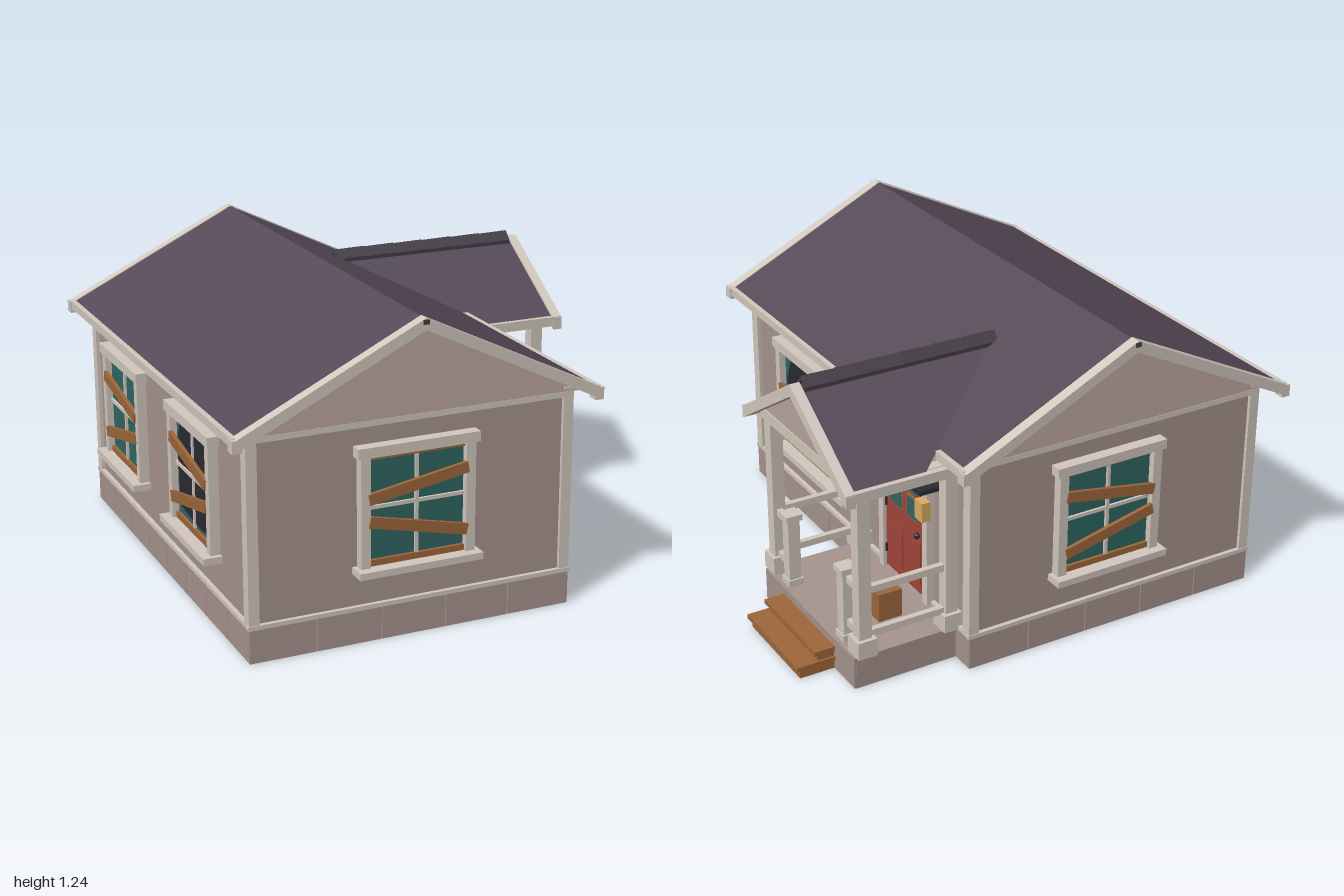
import * as THREE from 'three';

const mat = (color) => new THREE.MeshStandardMaterial({ color, flatShading: true, side: THREE.DoubleSide });
const M = {
  wall: mat(0xa8948f), trim: mat(0xd3c9bf), roof: mat(0x564a58), ridge: mat(0x453e47), wood: mat(0x9e673b),
  glass: mat(0x2f6763), dark: mat(0x2a2a33), door: mat(0xa2453a), lamp: mat(0xdcae60), floor: mat(0x4a2f1c), slab: mat(0x55504f),
};

function add(parent, name, geo, material) {
  const m = new THREE.Mesh(geo, material);
  m.name = name;
  parent.add(m);
  return m;
}

// Box given by its limits on each axis
function box(parent, name, material, x0, x1, y0, y1, z0, z1) {
  const m = add(parent, name, new THREE.BoxGeometry(x1 - x0, y1 - y0, z1 - z0), material);
  m.position.set((x0 + x1) / 2, (y0 + y1) / 2, (z0 + z1) / 2);
  return m;
}

function prism(points, z0, z1) {
  const shape = new THREE.Shape(points.map(([x, y]) => new THREE.Vector2(x, y)));
  return new THREE.ExtrudeGeometry(shape, { depth: z1 - z0, bevelEnabled: false }).translate(0, 0, z0);
}

// Inverted V section run along z, for roofs and barge boards
const chevron = (half, eave, ridge, t, z0, z1) =>
  prism([[-half, eave - t], [0, ridge - t], [half, eave - t], [half, eave], [0, ridge], [-half, eave]], z0, z1);

function placed(parent, name, x, z, turn) {
  const g = new THREE.Group();
  g.name = name;
  g.position.set(x, 0, z);
  g.rotation.y = turn;
  parent.add(g);
  return g;
}

// Lapped siding filling a triangle, facing local +z
function gable(g, y0, peak, slope, rows) {
  const h = (peak - y0) / rows;
  for (let i = 0; i < rows; i++) {
    const y = y0 + i * h, a = (peak - y) / slope, b = Math.max((peak - y - h) / slope, 0.002);
    const geo = prism([[-a, y], [a, y], [b, y + h], [-b, y + h]], 0, 0.004);
    const p = geo.attributes.position;
    for (let k = 0; k < p.count; k++) p.setZ(k, p.getZ(k) + (y + h - p.getY(k)) / h * 0.012);
    geo.computeVertexNormals();
    add(g, 'gableSiding', geo, M.wall);
  }
}

// Boarded window facing local +z
function boardedWindow(g, w, flip, broken) {
  const h = w / 2;
  box(g, 'glass', M.glass, -h, h, 0.31, 0.73, 0, 0.012);
  if (broken) {
    const hole = [[-0.9, 0.45], [-0.93, 0.6], [-0.8, 0.69], [-0.3, 0.7], [0.2, 0.71], [0.82, 0.69], [0.9, 0.55], [0.84, 0.35], [0.3, 0.34], [-0.4, 0.35], [-0.84, 0.36]];
    add(g, 'brokenPane', prism(hole.map(([x, y]) => [x * h, y]), 0.012, 0.015), M.dark);
  }
  for (const s of [-1, 1]) box(g, 'windowJamb', M.trim, s * (h + 0.017) - 0.019, s * (h + 0.017) + 0.019, 0.3, 0.73, 0, 0.04);
  box(g, 'windowHead', M.trim, -h - 0.05, h + 0.05, 0.73, 0.77, 0, 0.047);
  box(g, 'windowSill', M.trim, -h - 0.055, h + 0.055, 0.275, 0.302, 0, 0.075);
  box(g, 'sashBottom', M.wood, -h, h, 0.302, 0.326, 0, 0.025);
  box(g, 'sashTop', M.wood, -h, h, 0.714, 0.732, 0, 0.025);
  box(g, 'mullion', M.trim, -0.007, 0.007, 0.32, 0.72, 0, 0.022);
  box(g, 'muntin', M.trim, -h, h, 0.523, 0.537, 0, 0.022);
  for (const [y, tilt] of [[0.603, 0.172], [0.437, -0.225]]) {
    const b = add(g, 'board', new THREE.BoxGeometry(w + 0.015, 0.043, 0.016), M.wood);
    b.position.set(0, y, 0.037);
    b.rotation.z = flip ? -tilt : tilt;
  }
}

// Row of foundation panels with narrow gaps, along local x, outer face at z = 0
function panels(parent, x, z, turn, length, count) {
  const g = placed(parent, 'foundation', x, z, turn), step = length / count;
  for (let i = 0; i < count; i++) {
    const a = -length / 2 + i * step;
    box(g, 'foundationPanel', M.wall, a + 0.002, a + step - 0.002, 0, 0.13, -0.02, 0);
  }
}

export function createModel() {
  const root = new THREE.Group();
  root.name = 'cottage';
  const CX = -0.26, Q = Math.PI / 2, PZ = -0.44;

  // Foundation and floor
  panels(root, CX, 0.915, 0, 1.31, 5);
  panels(root, CX, -0.915, Math.PI, 1.31, 5);
  panels(root, 0.395, 0, Q, 1.83, 8);
  panels(root, -0.915, 0, -Q, 1.83, 8);
  box(root, 'floor', M.floor, -0.9, 0.38, 0.11, 0.13, -0.9, 0.9);

  // Walls with gable ends
  const walls = prism([[-0.64, 0.13], [0.64, 0.13], [0.64, 0.885], [0, 1.2], [-0.64, 0.885]], -0.9, 0.9);
  add(root, 'walls', walls, M.wall).position.x = CX;
  for (const s of [-1, 1]) {
    const g = placed(root, 'gableEnd', CX, s * 0.9, s > 0 ? 0 : Math.PI);
    gable(g, 0.86, 1.195, 0.49, 7);
    box(g, 'gableTrim', M.trim, -0.65, 0.65, 0.84, 0.862, 0, 0.017);
    box(g, 'baseTrim', M.trim, -0.66, 0.66, 0.13, 0.147, 0, 0.017);
    for (const t of [-1, 1]) box(g, 'cornerBoard', M.trim, t * 0.635 - 0.021, t * 0.635 + 0.021, 0.13, 0.88, -0.035, 0.014);
    const side = placed(root, 'sideTrim', CX + s * 0.64, 0, s * Q);
    box(side, 'baseTrim', M.trim, -0.9, 0.9, 0.13, 0.147, 0, 0.017);
    box(side, 'eaveTrim', M.trim, -0.9, 0.9, 0.84, 0.87, 0, 0.014);
  }

  // Main roof
  add(root, 'mainRoof', chevron(0.715, 0.89, 1.238, 0.03, -0.97, 0.97), M.roof).position.x = CX;
  for (const s of [-1, 1]) {
    const z = s * 0.977;
    add(root, 'bargeBoard', chevron(0.73, 0.886, 1.242, 0.045, z - 0.022, z + 0.022), M.trim).position.x = CX;
    box(root, 'ridgeFinish', M.ridge, CX - 0.012, CX + 0.012, 1.218, 1.236, z - 0.024, z + 0.024);
    for (const t of [-1, 1]) box(root, 'eaveReturn', M.trim, CX + t * 0.717 - 0.018, CX + t * 0.717 + 0.018, 0.842, 0.89, z - 0.022, z + 0.022);
  }
  box(root, 'eaveFascia', M.trim, -0.99, -0.965, 0.86, 0.893, -0.98, 0.98);
  box(root, 'eaveFascia', M.trim, 0.447, 0.47, 0.86, 0.893, -0.98, -0.79);
  box(root, 'eaveFascia', M.trim, 0.447, 0.47, 0.86, 0.893, -0.1, 0.98);

  // Windows
  boardedWindow(placed(root, 'frontWindow', -0.255, 0.9, 0), 0.39, false, false);
  boardedWindow(placed(root, 'backWindow', -0.21, -0.9, Math.PI), 0.39, true, false);
  boardedWindow(placed(root, 'rightWindow', 0.38, 0.3225, Q), 0.565, false, true);
  boardedWindow(placed(root, 'leftRearWindow', -0.9, -0.47, -Q), 0.39, true, false);
  boardedWindow(placed(root, 'leftFrontWindow', -0.9, 0.36, -Q), 0.39, true, true);

  // Door, in a frame facing +x with local x running towards -z
  const d = placed(root, 'door', 0.38, PZ, Q);
  box(d, 'doorLeaf', M.door, -0.155, 0.155, 0.14, 0.72, 0, 0.02);
  for (const s of [-1, 1]) {
    box(d, 'doorJamb', M.trim, s * 0.172 - 0.018, s * 0.172 + 0.018, 0.13, 0.725, 0, 0.035);
    for (const y of [0.497, 0.607]) {
      box(d, 'paneFrame', M.wood, s * 0.063 - 0.046, s * 0.063 + 0.046, y - 0.05, y + 0.05, 0, 0.024);
      box(d, 'pane', M.glass, s * 0.063 - 0.038, s * 0.063 + 0.038, y - 0.042, y + 0.042, 0, 0.027);
    }
    box(d, 'doorPanel', M.door, s * 0.07 - 0.05, s * 0.07 + 0.05, 0.18, 0.365, 0, 0.025);
  }
  box(d, 'doorHead', M.trim, -0.192, 0.192, 0.72, 0.767, 0, 0.042);
  for (const y of [0.22, 0.43, 0.66]) box(d, 'hinge', M.dark, -0.158, -0.145, y - 0.018, y + 0.018, 0, 0.026);
  add(d, 'doorKnob', new THREE.SphereGeometry(0.013, 8, 6), M.dark).position.set(0.107, 0.4, 0.032);

  // Wall lamp
  box(d, 'lampGlass', M.lamp, 0.2, 0.253, 0.545, 0.625, 0.055, 0.092);
  box(d, 'lampCap', M.dark, 0.18, 0.27, 0.672, 0.688, 0, 0.11);

  // Porch floor and foundation
  box(root, 'porchFloor', M.wall, 0.38, 0.83, 0.11, 0.132, -0.815, -0.065);
  box(root, 'porchUnderside', M.slab, 0.4, 0.82, 0.1, 0.11, -0.805, -0.075);
  panels(root, 0.83, PZ, Q, 0.75, 1);
  panels(root, 0.61, -0.065, 0, 0.43, 1);
  panels(root, 0.61, -0.815, Math.PI, 0.43, 1);

  // Posts, rails and beams, mirrored about the porch centre
  for (const s of [-1, 1]) {
    const z = PZ + s * 0.352;
    for (const x of [0.415, 0.782]) {
      box(root, 'porchPost', M.trim, x - 0.026, x + 0.026, 0.13, 0.82, z - 0.026, z + 0.026);
      box(root, 'postBase', M.trim, x - 0.04, x + 0.04, 0.132, 0.205, z - 0.042, z + 0.042);
    }
    const nz = PZ + s * 0.226;
    box(root, 'newelPost', M.trim, 0.757, 0.807, 0.132, 0.43, nz - 0.025, nz + 0.025);
    box(root, 'newelCap', M.trim, 0.748, 0.816, 0.42, 0.445, nz - 0.034, nz + 0.034);
    box(root, 'newelBase', M.trim, 0.75, 0.814, 0.132, 0.16, nz - 0.032, nz + 0.032);
    for (const y of [0.4, 0.213]) {
      box(root, 'sideRail', M.trim, 0.41, 0.78, y - 0.014, y + 0.014, z - 0.012, z + 0.012);
      box(root, 'frontRail', M.trim, 0.77, 0.794, y - 0.014, y + 0.014, Math.min(z, nz), Math.max(z, nz));
    }
    box(root, 'sideBeam', M.trim, 0.39, 0.81, 0.8, 0.84, z - 0.024, z + 0.024);
    const e = PZ + s * 0.41;
    box(root, 'porchFascia', M.trim, 0.44, 0.875, 0.81, 0.85, e - 0.014, e + 0.014);
  }
  box(root, 'frontBeam', M.trim, 0.76, 0.815, 0.8, 0.845, -0.83, -0.05);

  // Porch roof, its inner end cut to follow the main roof slope
  const p = placed(root, 'porchRoof', 0, PZ, Q);
  const cover = chevron(0.41, 0.845, 1.105, 0.025, 0, 0.845), pos = cover.attributes.position;
  for (let i = 0; i < pos.count; i++) if (pos.getZ(i) < 0.4) pos.setZ(i, 0.455 - (pos.getY(i) - 0.89) / 0.49);
  cover.computeVertexNormals();
  add(p, 'porchRoofCover', cover, M.roof);
  add(p, 'porchBargeBoard', chevron(0.425, 0.845, 1.112, 0.05, 0.835, 0.875), M.trim);
  const face = placed(p, 'porchGable', 0, 0.795, 0);
  add(face, 'gableBacking', prism([[-0.37, 0.84], [0.37, 0.84], [0, 1.078]], -0.012, 0), M.wall);
  gable(face, 0.845, 1.075, 0.635, 5);

  // Overlapping ridge caps
  for (let i = 0; i < 6; i++) {
    const a = 0.03 + i * 0.136;
    const cap = add(p, 'ridgeCap', chevron(0.034, 1.1, 1.135, 0.02, 0, 0.14), M.ridge);
    cap.position.set(0, -0.002, a);
    cap.rotation.x = -0.02;
  }

  // Steps
  for (const [top, out] of [[0.1, 0.915], [0.055, 0.99]]) {
    box(root, 'stepTread', M.wood, 0.83, out, top - 0.017, top, -0.66, -0.225);
    box(root, 'stepRiser', M.wood, 0.83, out - 0.015, top - 0.055, top - 0.017, -0.65, -0.235);
  }

  // Crates on the porch
  box(root, 'woodenCrate', M.wood, 0.53, 0.63, 0.132, 0.25, -0.64, -0.55);
  box(root, 'smallCrate', M.glass, 0.55, 0.65, 0.132, 0.205, -0.548, -0.49);
  return root;
}
